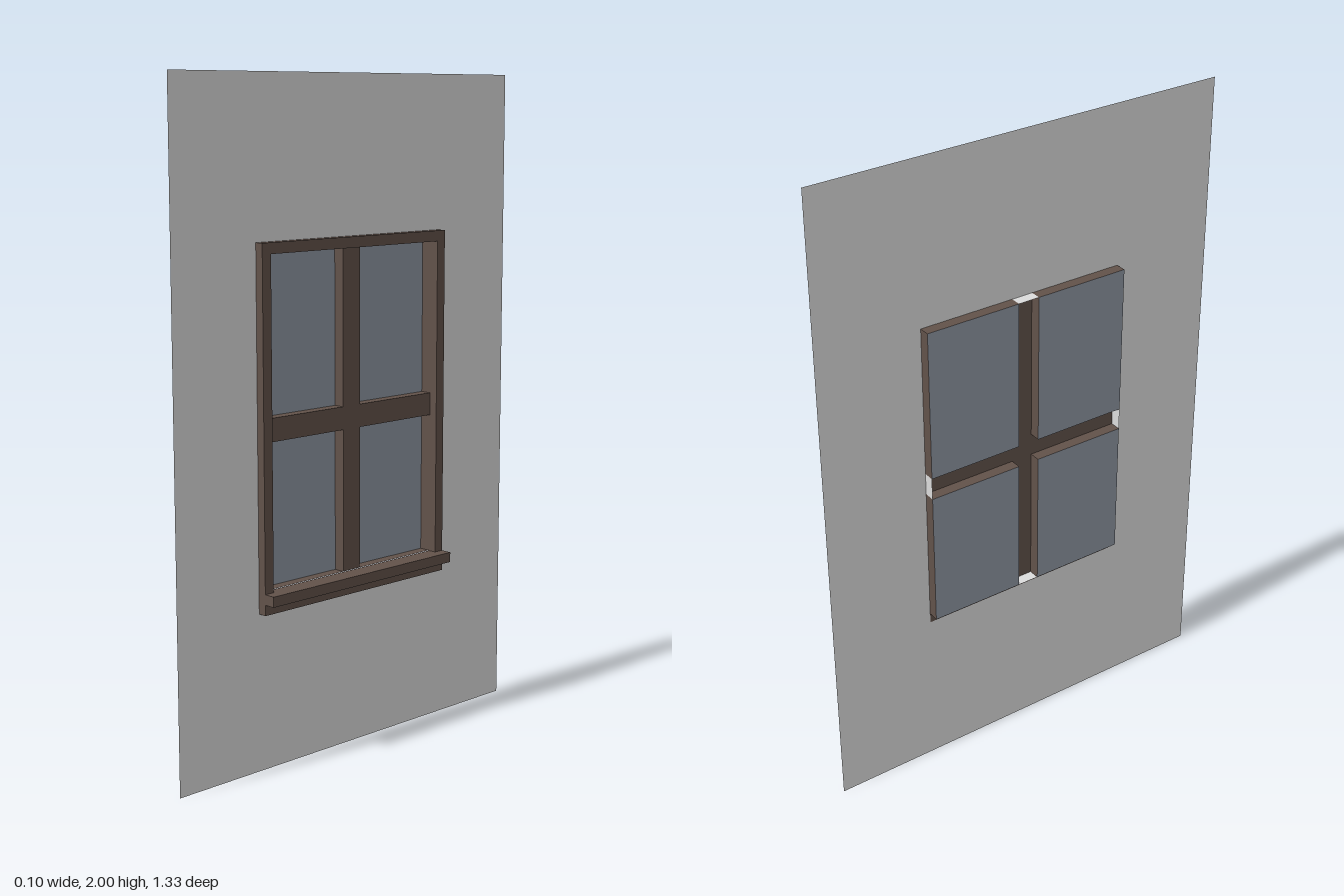
import * as THREE from 'three';

export function createModel() {
  const model = new THREE.Group();
  const mat = (name, color) => {
    const m = new THREE.MeshStandardMaterial({ color, side: THREE.DoubleSide });
    m.name = name;
    return m;
  };
  const plaster = mat('plaster', 0xdcdcdc);
  const wood = mat('darkWood', 0x62524a);
  const glass = mat('glass', 0x8f97a2);

  const add = (parent, name, geometry, material) => {
    const mesh = new THREE.Mesh(geometry, material);
    mesh.name = name;
    parent.add(mesh);
    return mesh;
  };
  // Box given by its limits on each axis
  const box = (parent, name, [x0, x1], [y0, y1], [z0, z1], material) =>
    add(parent, name, new THREE.BoxGeometry(x1 - x0, y1 - y0, z1 - z0), material)
      .position.set((x0 + x1) / 2, (y0 + y1) / 2, (z0 + z1) / 2);
  // Sheets facing +x, +y and +z
  const sheetX = (parent, name, x, [y0, y1], [z0, z1], material) =>
    add(parent, name, new THREE.PlaneGeometry(z1 - z0, y1 - y0).rotateY(Math.PI / 2)
      .translate(x, (y0 + y1) / 2, (z0 + z1) / 2), material);
  const sheetY = (parent, name, y, [x0, x1], [z0, z1], material) =>
    add(parent, name, new THREE.PlaneGeometry(x1 - x0, z1 - z0).rotateX(-Math.PI / 2)
      .translate((x0 + x1) / 2, y, (z0 + z1) / 2), material);
  const sheetZ = (parent, name, z, [x0, x1], [y0, y1], material) =>
    add(parent, name, new THREE.PlaneGeometry(x1 - x0, y1 - y0)
      .translate((x0 + x1) / 2, (y0 + y1) / 2, z), material);

  const back = -0.05, mid = -0.015, face = 0.012;
  const inner = 0.335, outer = 0.367, bar = 0.034;
  const bottom = 0.537, top = 1.503, barLow = 0.967, barHigh = 1.036;

  // Thin wall with the window opening
  const shape = new THREE.Shape([[-0.665, 0], [0.665, 0], [0.665, 2], [-0.665, 2]]
    .map(([u, v]) => new THREE.Vector2(u, v)));
  shape.holes.push(new THREE.Path([[-inner, 0.505], [-inner, top], [inner, top], [inner, 0.505]]
    .map(([u, v]) => new THREE.Vector2(u, v))));
  add(model, 'wall', new THREE.ShapeGeometry(shape).rotateY(Math.PI / 2), plaster).position.x = mid - 0.001;

  // Casing around the opening, and the sill
  const casing = new THREE.Group();
  casing.name = 'casing';
  model.add(casing);
  box(casing, 'topCasing', [mid, face], [top, 1.535], [-outer, outer], wood);
  box(casing, 'bottomCasing', [mid, face], [0.473, 0.505], [-outer, outer], wood);
  for (const s of [-1, 1]) {
    const z = s < 0 ? [-outer, -inner] : [inner, outer];
    box(casing, 'sideCasing', [mid, face], [0.505, top], z, wood);
  }
  box(model, 'sill', [mid, 0.047], [0.505, 0.536], [-outer, outer], wood);

  // Crossing glazing bars, open behind
  sheetX(model, 'verticalBar', mid, [bottom, top], [-bar, bar], wood);
  for (const z of [[-inner, -bar], [bar, inner]])
    sheetX(model, 'horizontalBar', mid, [barLow, barHigh], z, wood);

  // Four panes, each at the back of a shallow wooden recess
  const depth = [back, mid];
  for (const y of [[bottom, barLow], [barHigh, top]]) {
    for (const z of [[-inner, -bar], [bar, inner]]) {
      const pane = new THREE.Group();
      pane.name = 'pane';
      model.add(pane);
      sheetX(pane, 'glass', back, y, z, glass);
      for (const v of y) sheetY(pane, 'recessEdge', v, depth, z, wood);
      for (const w of z) sheetZ(pane, 'recessSide', w, depth, y, wood);
    }
  }

  // Wall returns closing the ends of the grooves behind the bars
  for (const y of [bottom, top]) sheetY(model, 'wallReturn', y, depth, [-bar, bar], plaster);
  for (const z of [-inner, inner]) sheetZ(model, 'wallReturn', z, depth, [barLow, barHigh], plaster);

  return model;
}
